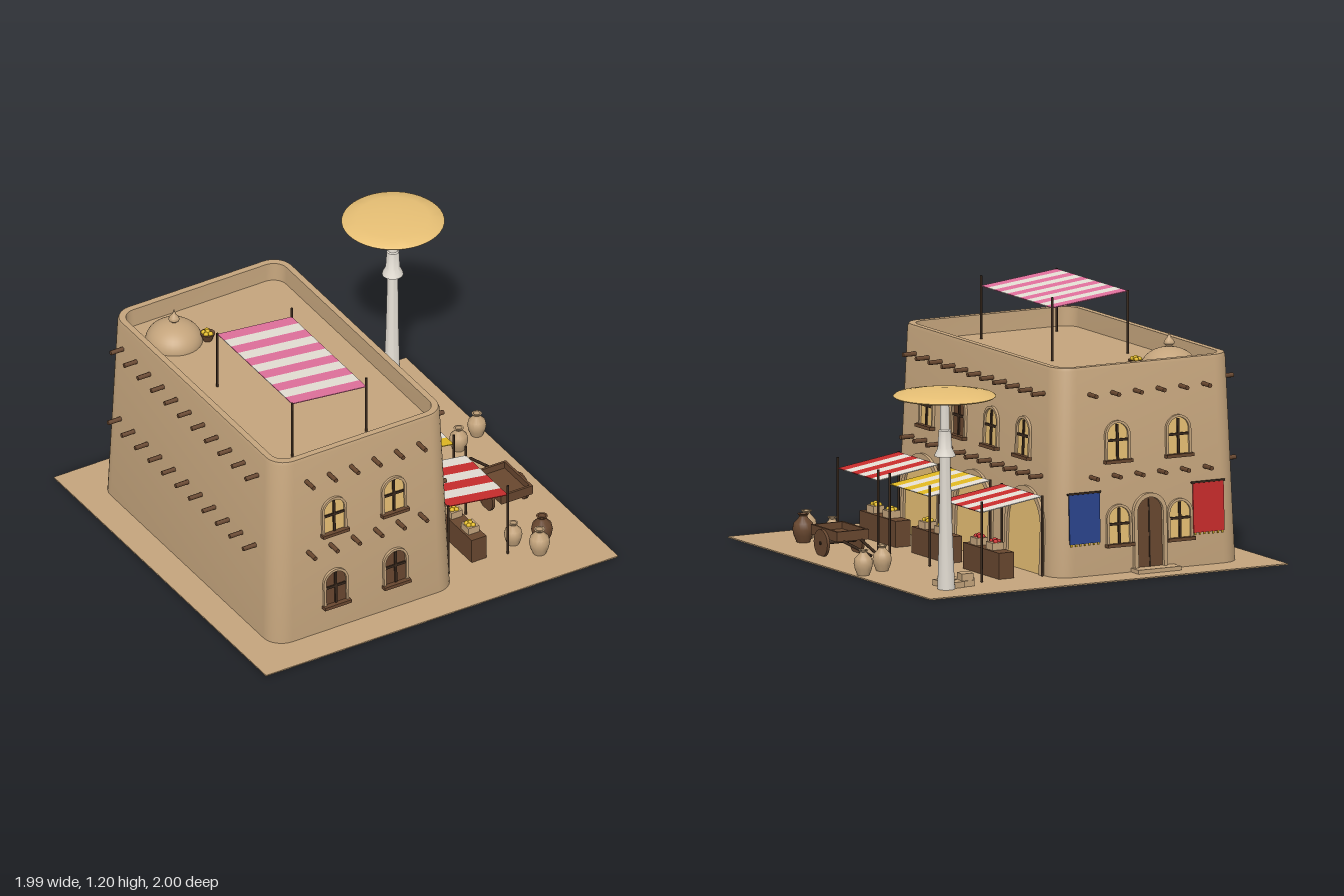
import * as THREE from 'three';
import { toCreasedNormals } from 'three/addons/utils/BufferGeometryUtils.js';

const material = (name, color) => {
  const m = new THREE.MeshStandardMaterial({ color });
  m.name = name;
  return m;
};
const sand = material('sand plaster', 0xc4a47c);
const wood = material('brown wood', 0x68472f);
const dark = material('dark wood', 0x38281c);
const glow = material('warm light', 0xeac276);
const white = material('off white', 0xe4ded4);
const red = material('red cloth', 0xc82c2c);
const yellow = material('yellow cloth', 0xe0b822);
const pink = material('pink cloth', 0xe0709c);
const blue = material('blue cloth', 0x2a448c);

const CX = -0.35, CZ = 0.035; // building centre

function add(parent, name, geometry, mat, x = 0, y = 0, z = 0) {
  const mesh = new THREE.Mesh(geometry, mat);
  mesh.name = name;
  mesh.position.set(x, y, z);
  parent.add(mesh);
  return mesh;
}
function group(parent, name, x = 0, y = 0, z = 0) {
  const g = new THREE.Group();
  g.name = name;
  g.position.set(x, y, z);
  parent.add(g);
  return g;
}
const box = (w, h, d) => new THREE.BoxGeometry(w, h, d);
const lathe = (pts, n = 24) => toCreasedNormals(
  new THREE.LatheGeometry(pts.map(p => new THREE.Vector2(...p)), n), 0.6);

// Rod of given radius between two points
function rod(parent, name, a, b, r, mat) {
  const A = new THREE.Vector3(...a), B = new THREE.Vector3(...b), d = B.clone().sub(A);
  const m = add(parent, name, new THREE.CylinderGeometry(r, r, d.length(), 8), mat);
  m.position.copy(A).add(B).multiplyScalar(0.5);
  m.quaternion.setFromUnitVectors(new THREE.Vector3(0, 1, 0), d.normalize());
}

// Stacked rounded rectangles: [half width, half depth, corner radius, height]
function loft(rings) {
  const seg = 8, n = 4 * (seg + 1), pos = [], idx = [];
  rings.forEach(([hx, hz, r, y]) => {
    for (let k = 0; k < 4; k++) for (let i = 0; i <= seg; i++) {
      const t = (k + i / seg) * Math.PI / 2;
      const sx = k === 0 || k === 3 ? 1 : -1, sz = k < 2 ? 1 : -1;
      pos.push(sx * (hx - r) + r * Math.cos(t), y, sz * (hz - r) + r * Math.sin(t));
    }
  });
  for (let j = 0; j < rings.length - 1; j++) for (let i = 0; i < n; i++) {
    const a = j * n + i, b = j * n + (i + 1) % n;
    idx.push(a, a + n, b, b, a + n, b + n);
  }
  const g = new THREE.BufferGeometry();
  g.setAttribute('position', new THREE.Float32BufferAttribute(pos, 3));
  g.setIndex(idx);
  return toCreasedNormals(g, 0.6);
}

// Round-topped opening outline
function arch(half, spring, bottom = 0, Type = THREE.Shape) {
  const s = new Type();
  s.moveTo(-half, bottom);
  s.lineTo(half, bottom);
  s.lineTo(half, spring);
  s.absarc(0, spring, half, 0, Math.PI, false);
  s.lineTo(-half, bottom);
  return s;
}
function archway(g, half, spring, rim, depth, paneMat) {
  const outer = arch(half + rim, spring);
  outer.holes.push(arch(half, spring, 0.001, THREE.Path));
  add(g, 'archSurround', toCreasedNormals(new THREE.ExtrudeGeometry(outer,
    { depth: depth + 0.01, bevelEnabled: false, curveSegments: 16 }), 0.6), sand, 0, 0, -0.01);
  add(g, 'archPane', new THREE.ShapeGeometry(arch(half, spring), 16), paneMat, 0, 0, 0.004);
}

// Frame on a sloping wall; local +z points out of the wall
const SIDES = {
  front: [0, 0.79, 0.04], right: [Math.PI / 2, 0.5, 0.035],
  back: [Math.PI, 0.79, 0.04], left: [-Math.PI / 2, 0.5, 0.035],
};
function onWall(parent, name, side, u, y) {
  const [turn, base, slope] = SIDES[side];
  const pivot = group(parent, name, CX, 0, CZ);
  pivot.rotation.y = turn;
  const g = group(pivot, name + 'Frame', u, y, base - slope * y);
  g.rotation.x = -Math.atan(slope);
  return g;
}
function windowAt(parent, side, u, y, pane) {
  const g = onWall(parent, 'window', side, u, y);
  archway(g, 0.055, 0.12, 0.012, 0.014, pane);
  add(g, 'windowUpright', box(0.012, 0.17, 0.008), dark, 0, 0.085, 0.007);
  add(g, 'windowCrossbar', box(0.108, 0.012, 0.008), dark, 0, 0.095, 0.007);
  add(g, 'windowSill', box(0.145, 0.016, 0.035), wood, 0, -0.005, 0.012);
}

// Sloping striped cloth on four poles
function canopy(parent, name, x0, y0, x1, y1, z0, z1, count, mats, floor) {
  const g = group(parent, name), w = (z1 - z0) / count;
  for (let i = 0; i < count; i++) {
    const s = add(g, 'clothStripe', box(Math.hypot(x1 - x0, y1 - y0), 0.004, w), mats[i % 2],
      (x0 + x1) / 2, (y0 + y1) / 2, z0 + (i + 0.5) * w);
    s.rotation.z = Math.atan2(y1 - y0, x1 - x0);
  }
  for (const x of [x0, x1]) for (const z of [z0, z1])
    rod(g, 'canopyPole', [x, floor, z], [x, y0 + 0.005, z], 0.006, dark);
}

function fruits(parent, mat, x, y, z, r) {
  for (let i = 0; i < 5; i++) {
    const a = i * 1.26, d = i ? r : 0;
    add(parent, 'fruit', new THREE.SphereGeometry(0.012, 10, 8), mat,
      x + d * Math.cos(a), y + (i ? 0 : 0.006), z + d * Math.sin(a));
  }
}

function stall(parent, zc, cloth, fruit) {
  const g = group(parent, 'marketStall');
  canopy(g, 'stallAwning', 0.165, 0.383, 0.49, 0.335, zc - 0.19, zc + 0.19, 6, [white, cloth], 0);
  add(g, 'counter', box(0.08, 0.13, 0.34), wood, 0.345, 0.065, zc);
  for (const dz of [-0.06, 0.09]) {
    add(g, 'crate', box(0.06, 0.035, 0.065), sand, 0.345, 0.147, zc + dz);
    fruits(g, fruit, 0.345, 0.167, zc + dz, 0.018);
  }
}

function buildHouse(root) {
  const house = group(root, 'house');
  add(house, 'walls', loft([[0.5, 0.79, 0.1, 0], [0.468, 0.753, 0.1, 0.975], [0.462, 0.747, 0.095, 0.99],
    [0.432, 0.715, 0.07, 0.99], [0.428, 0.711, 0.07, 0.9], [0, 0, 0, 0.9]]), sand, CX, 0, CZ);

  // Projecting roof and floor beams
  const beam = new THREE.CylinderGeometry(0.011, 0.011, 0.11, 8).rotateX(Math.PI / 2);
  for (const side of Object.keys(SIDES)) for (const y of [0.47, 0.86]) {
    const long = side === 'left' || side === 'right', n = long ? 11 : 6;
    for (let i = 0; i < n; i++) {
      const g = onWall(house, 'beam', side, (i - (n - 1) / 2) * 0.122 + (long ? (side === 'right' ? 0.015 : -0.015) : 0), y);
      g.rotation.x = 0;
      add(g, 'beamEnd', beam, wood, 0, 0, 0.015);
    }
  }

  // Windows
  for (const u of [-0.163, 0.163]) {
    windowAt(house, 'front', u, 0.54, glow);
    windowAt(house, 'front', u, 0.145, wood);
    windowAt(house, 'back', u, 0.54, glow);
    windowAt(house, 'back', u, 0.145, glow);
  }
  [0.5, 0.195, -0.11, -0.415].forEach((z, i) => windowAt(house, 'right', CZ - z, 0.54, i === 1 ? wood : glow));

  // Shop arches
  for (const z of [0.525, 0.035, -0.455])
    archway(onWall(house, 'shopArch', 'right', CZ - z, 0), 0.155, 0.225, 0.025, 0.015, glow);

  // Back door, step and banners
  const door = onWall(house, 'door', 'back', 0, 0.015);
  archway(door, 0.068, 0.27, 0.02, 0.02, wood);
  add(door, 'doorSeam', box(0.006, 0.33, 0.004), dark, 0, 0.165, 0.006);
  add(house, 'doorStep', box(0.23, 0.025, 0.09), sand, -0.365, 0.0125, -0.782);
  for (const [u, mat] of [[-0.35, blue], [0.315, red]]) {
    const b = onWall(house, 'banner', 'back', u, 0.28);
    add(b, 'bannerCloth', box(0.165, 0.235, 0.006), mat, 0, 0, 0.012);
    rod(b, 'bannerRod', [-0.09, 0.12, 0.012], [0.09, 0.12, 0.012], 0.005, dark);
    for (let i = 0; i < 7; i++)
      add(b, 'bannerTassel', box(0.009, 0.012, 0.006), yellow, (i - 3) * 0.024, -0.122, 0.012);
  }

  // Roof dome, finial, fruit bowl and canopy
  const dome = add(house, 'roofDome', new THREE.SphereGeometry(0.135, 32, 12, 0, Math.PI * 2, 0, Math.PI / 2), sand, -0.61, 0.9, -0.48);
  dome.scale.y = 0.75;
  add(house, 'domeFinial', lathe([[0.03, 0], [0.012, 0.008], [0.026, 0.022], [0.024, 0.034], [0.01, 0.05], [0, 0.08]], 16),
    sand, -0.61, 0.995, -0.48);
  add(house, 'roofBowl', lathe([[0, 0], [0.02, 0], [0.036, 0.04], [0.03, 0.04], [0, 0.03]], 16), wood, -0.475, 0.9, -0.4);
  fruits(house, yellow, -0.475, 0.942, -0.4, 0.019);
  canopy(house, 'roofCanopy', -0.635, 1.195, -0.23, 1.15, -0.045, 0.63, 11, [pink, white], 0.9);
}

function buildCart(root) {
  const cart = group(root, 'handcart', 0.695, 0, 0.335);
  add(cart, 'cartFloor', box(0.17, 0.015, 0.245), wood, 0, 0.095, 0);
  for (const s of [-1, 1]) {
    add(cart, 'cartSide', box(0.012, 0.045, 0.245), wood, s * 0.08, 0.113, 0);
    add(cart, 'cartEnd', box(0.17, 0.045, 0.012), wood, 0, 0.113, s * 0.117);
    add(cart, 'cartWheel', new THREE.CylinderGeometry(0.065, 0.065, 0.014, 20).rotateZ(Math.PI / 2), wood, s * 0.094, 0.065, 0.005);
    rod(cart, 'cartHandle', [s * 0.05, 0.09, -0.1], [s * 0.018, 0.05, -0.33], 0.007, dark);
  }
  rod(cart, 'cartAxle', [-0.105, 0.065, 0.005], [0.105, 0.065, 0.005], 0.009, dark);
}

export function createModel() {
  const root = new THREE.Group();
  root.name = 'marketHouse';
  add(root, 'ground', box(1.92, 0.006, 1.92), sand, -0.04, 0.003, 0.04);
  buildHouse(root);
  stall(root, 0.525, red, yellow);
  stall(root, 0.035, yellow, yellow);
  stall(root, -0.455, red, red);
  buildCart(root);

  // Clay jars
  const jar = lathe([[0, 0], [0.026, 0], [0.04, 0.035], [0.045, 0.06], [0.04, 0.085], [0.019, 0.108],
    [0.017, 0.116], [0.024, 0.125], [0.016, 0.125], [0.012, 0.11], [0, 0.108]]);
  for (const [x, z, s, mat] of [[0.875, -0.205, 1, sand], [0.74, -0.145, 1, sand], [0.555, 0.655, 0.96, sand],
    [0.685, 0.7, 1.13, wood], [0.62, 0.785, 1.1, sand]])
    add(root, 'jar', jar, mat, x, 0, z).scale.setScalar(s);

  // Leaning lamp mast with a broad shallow shade
  const mast = lathe([[0, 0], [0.041, 0], [0.03, 0.35], [0.025, 0.64], [0.05, 0.642], [0.048, 0.652], [0.034, 0.68],
    [0.029, 0.765], [0.023, 0.77], [0.021, 0.93]]);
  mast.applyMatrix4(new THREE.Matrix4().makeShear(0, 0, 0.034, -0.043, 0, 0));
  const p = mast.attributes.position;
  if (Math.abs(p.getX(p.count - 1)) > 1) p.needsUpdate = true;
  add(root, 'lampMast', mast, white, 0.722, 0, -0.72);
  add(root, 'lampShade', lathe([[0, 0.921], [0.2, 0.921], [0.235, 0.925], [0.241, 0.931], [0.232, 0.938],
    [0.17, 0.949], [0.09, 0.955], [0, 0.957]], 40), glow, 0.753, 0, -0.76);

  // Loose stone blocks
  [[0.565, 0.017, -0.63], [0.63, 0.017, -0.625], [0.695, 0.017, -0.63], [0.6, 0.05, -0.685], [0.6, 0.017, -0.69], [0.66, 0.017, -0.7]]
    .forEach(([x, y, z], i) => {
      add(root, 'stoneBlock', box(0.06, 0.034, 0.06), sand, x, y, z).rotation.y = (i % 3 - 1) * 0.12;
    });
  return root;
}
